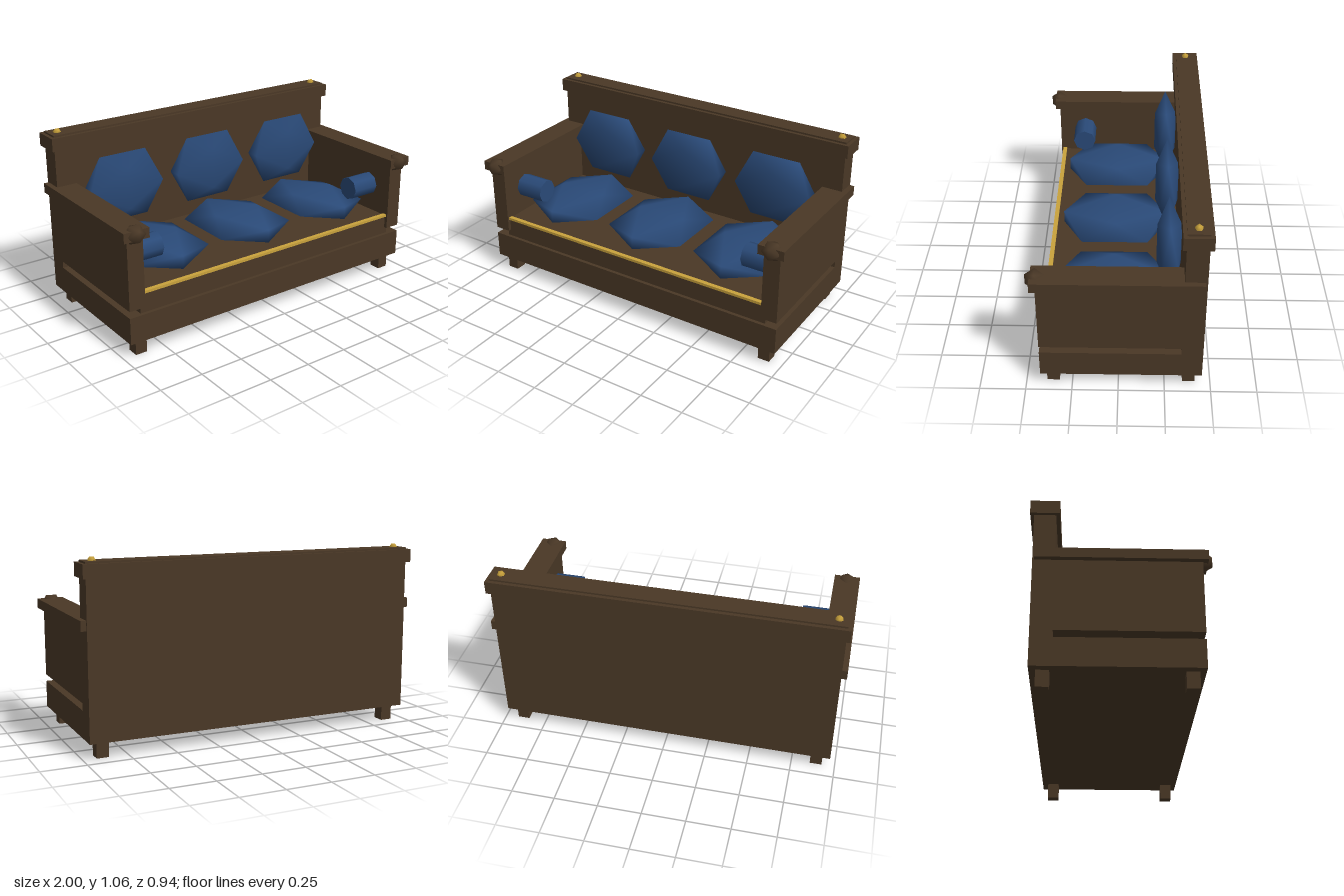
import * as THREE from 'three';
import { mergeVertices } from 'three/addons/utils/BufferGeometryUtils.js';

const mat = (name, color) => {
  const m = new THREE.MeshStandardMaterial({ color });
  m.name = name;
  return m;
};

export function createModel() {
  const sofa = new THREE.Group();
  sofa.name = 'sofa';
  const wood = mat('dark wood', 0x4a3826);
  const blue = mat('blue fabric', 0x2a4a78);
  const gold = mat('gold trim', 0xc9a23c);

  const add = (name, geometry, material) => {
    const mesh = new THREE.Mesh(geometry, material);
    mesh.name = name;
    sofa.add(mesh);
    return mesh;
  };

  // Box given by its limits on each axis
  const box = (name, material, x0, x1, y0, y1, z0, z1) =>
    add(name, new THREE.BoxGeometry(x1 - x0, y1 - y0, z1 - z0), material)
      .position.set((x0 + x1) / 2, (y0 + y1) / 2, (z0 + z1) / 2);

  // Smooth-shaded icosahedron stretched to the given half sizes
  const puff = (name, material, x, y, z, hx, hy, hz) => {
    let g = new THREE.IcosahedronGeometry(1, 0);
    g.deleteAttribute('normal');
    g.deleteAttribute('uv');
    g = mergeVertices(g, 1e-4);
    const k = 1 / 0.8507; // widest vertex of the unit icosahedron
    g.scale(hx * k, hy * k, hz * k);
    g.computeVertexNormals();
    add(name, g, material).position.set(x, y, z);
  };

  // Frame
  box('base', wood, -0.97, 0.97, 0.09, 0.245, -0.45, 0.42);
  box('seatDeck', wood, -0.895, 0.895, 0.245, 0.365, -0.34, 0.4);
  box('backrest', wood, -0.97, 0.97, 0.09, 1.04, -0.45, -0.335);
  box('backCap', wood, -0.99, 0.99, 0.955, 1.03, -0.47, -0.315);
  box('seatTrim', gold, -0.875, 0.875, 0.358, 0.373, 0.385, 0.41);

  // Mirrored sides
  for (const s of [-1, 1]) {
    const side = s > 0 ? 'left' : 'right';
    const sideBox = (part, a, b, ...rest) =>
      box(side + part, wood, Math.min(s * a, s * b), Math.max(s * a, s * b), ...rest);
    sideBox('Arm', 0.875, 0.97, 0.285, 0.685, -0.34, 0.42);
    sideBox('ArmRail', 0.85, 1, 0.685, 0.74, -0.44, 0.447);
    sideBox('FrontLeg', 0.857, 0.925, 0, 0.09, 0.32, 0.388);
    sideBox('BackLeg', 0.857, 0.925, 0, 0.09, -0.416, -0.348);
    puff(side + 'ArmKnob', wood, s * 0.923, 0.712, 0.423, 0.05, 0.048, 0.05);
    puff(side + 'Finial', gold, s * 0.92, 1.04, -0.393, 0.02, 0.02, 0.02);

    // Bolster lying across the seat end
    const roll = new THREE.CylinderGeometry(0.07, 0.07, 0.175, 8);
    roll.rotateZ(Math.PI / 2);
    add(side + 'Bolster', roll, blue).position.set(s * 0.777, 0.54, 0.253);
  }

  // Seat and back cushions
  for (const x of [-0.585, 0, 0.585]) {
    puff('seatCushion', blue, x, 0.43, 0.035, 0.248, 0.061, 0.308);
    puff('backCushion', blue, x, 0.687, -0.266, 0.24, 0.2, 0.066);
  }
  return sofa;
}
